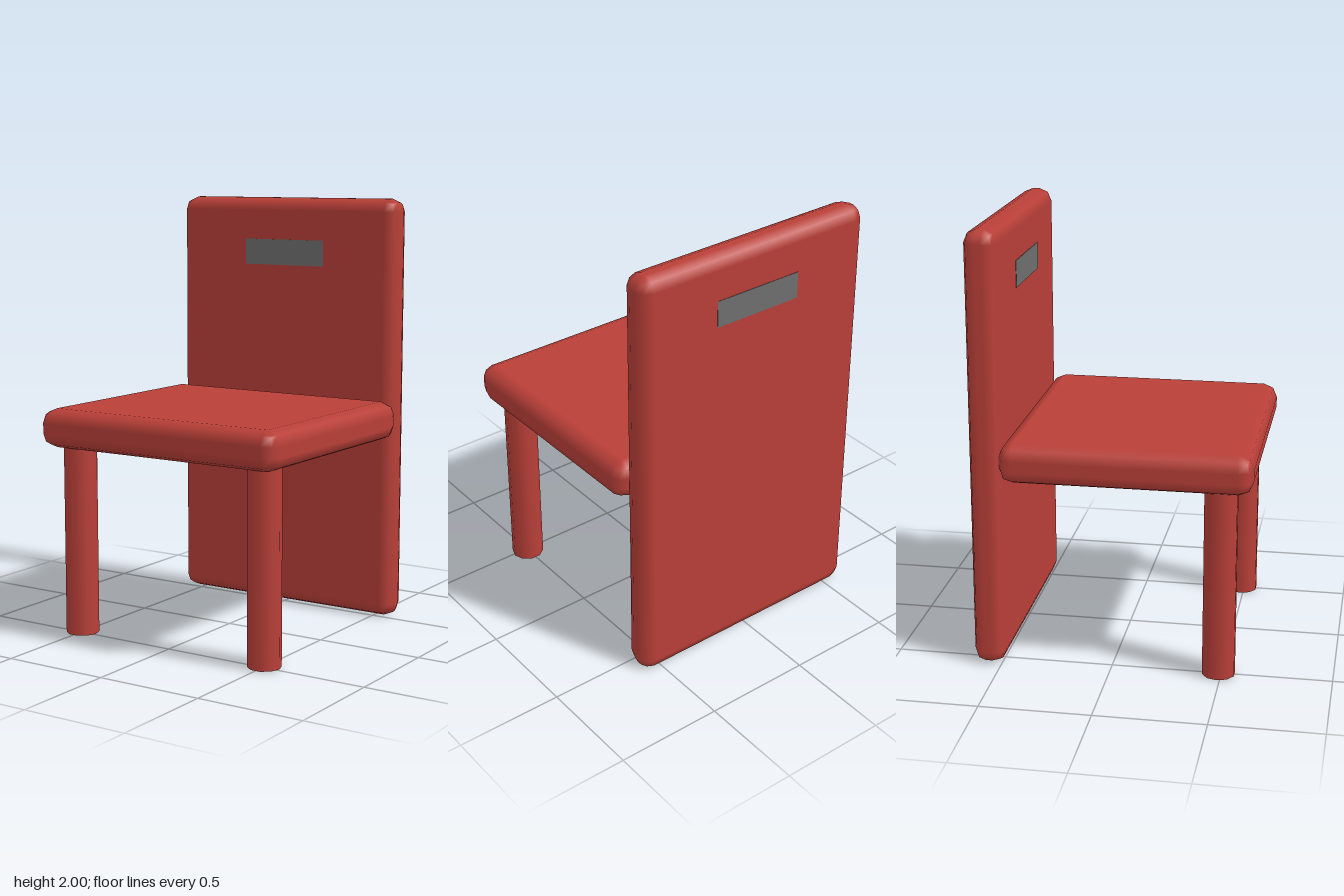
import * as THREE from 'three';
import { RoundedBoxGeometry } from 'three/addons/geometries/RoundedBoxGeometry.js';

export function createModel() {
  const chair = new THREE.Group();
  chair.name = 'chair';

  const red = new THREE.MeshStandardMaterial({ color: 0xb93f38, side: THREE.DoubleSide });
  red.name = 'red paint';
  const grey = new THREE.MeshStandardMaterial({ color: 0x6e6e6e });
  grey.name = 'grey plate';

  function add(name, geometry, material, x, y, z) {
    const mesh = new THREE.Mesh(geometry, material);
    mesh.name = name;
    mesh.position.set(x, y, z);
    chair.add(mesh);
    return mesh;
  }

  // Thick cushion-like seat and a back panel reaching the floor
  add('seat', new RoundedBoxGeometry(1.264, 0.18, 1.126, 1, 0.065), red, 0, 0.97, 0.071);
  add('backPanel', new RoundedBoxGeometry(1.2, 2, 0.148, 1, 0.06), red, 0, 1, -0.556);

  // Two hollow front legs, open at the bottom
  const leg = new THREE.CylinderGeometry(0.076, 0.076, 0.9, 10, 1, true);
  leg.rotateY(Math.PI / 2);
  for (const side of [-1, 1]) {
    add(side > 0 ? 'leftLeg' : 'rightLeg', leg, red, side * 0.5, 0.45, 0.487);
  }

  // Thin grey plate showing on both faces of the back panel
  add('handlePlate', new THREE.BoxGeometry(0.435, 0.123, 0.004), grey, 0, 1.738, -0.482);
  add('rearHandlePlate', new THREE.BoxGeometry(0.435, 0.123, 0.004), grey, 0, 1.738, -0.63);

  return chair;
}
